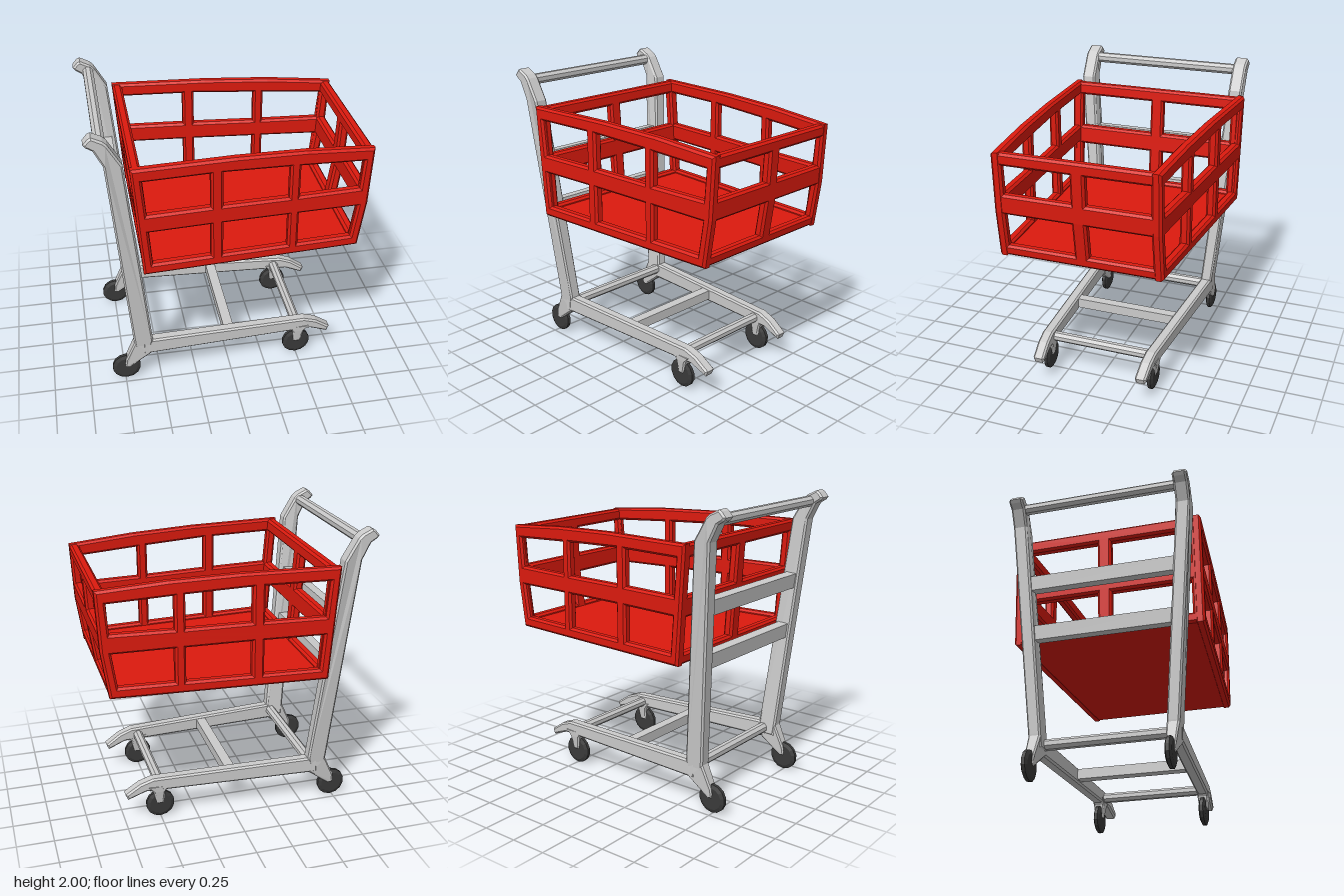
import * as THREE from 'three';

const red = new THREE.MeshStandardMaterial({ color: 0xdd1a0e });
const grey = new THREE.MeshStandardMaterial({ color: 0xcccccc });
const dark = new THREE.MeshStandardMaterial({ color: 0x3a3a3a, flatShading: true });
const lerp = THREE.MathUtils.lerp;
const toVecs = (pts) => pts.map(([x, y]) => new THREE.Vector2(x, y));

// Chamfered plate cut from an outline, each vertex then moved by place(x, y, t)
function plate(name, material, outline, holes, thickness, bevel, place) {
  const shape = new THREE.Shape(toVecs(outline));
  holes.forEach((h) => shape.holes.push(new THREE.Path(toVecs(h))));
  const depth = thickness - 2 * bevel;
  const geo = new THREE.ExtrudeGeometry(shape, {
    depth, bevelEnabled: true, bevelSegments: 1,
    bevelSize: bevel, bevelThickness: bevel, bevelOffset: -bevel,
  });
  geo.translate(0, 0, -depth / 2);
  const p = geo.attributes.position;
  for (let i = 0; i < p.count; i++) p.setXYZ(i, ...place(p.getX(i), p.getY(i), p.getZ(i)));
  geo.computeVertexNormals();
  const mesh = new THREE.Mesh(geo, material);
  mesh.name = name;
  return mesh;
}

// Basket form: tapered plan, leaning rear, bent front
const sideZ = (x) => 0.61 - 0.065 * x;
const rearX = (y) => lerp(-0.6, -0.655, (y - 1.01) / 0.77);
const frontX = (y) => (y < 1.33 ? lerp(0.84, 0.887, (y - 1.01) / 0.32) : lerp(0.887, 0.907, (y - 1.33) / 0.4));
const WALL = 0.066;

function createBasket() {
  const basket = new THREE.Group();
  basket.name = 'basket';

  const sideOutline = [[-0.6, 1.01], [0.84, 1.01], [0.887, 1.33], [0.907, 1.73], [0.45, 1.765], [0, 1.78], [-0.655, 1.78]];
  const sideHoles = [
    [[-0.565, 1.45], [-0.16, 1.45], [-0.16, 1.69], [-0.585, 1.69]],
    [[-0.08, 1.45], [0.35, 1.445], [0.35, 1.672], [-0.08, 1.69]],
    [[0.42, 1.445], [0.825, 1.445], [0.84, 1.645], [0.42, 1.668]],
    [[-0.54, 1.085], [-0.16, 1.085], [-0.16, 1.325], [-0.558, 1.325]],
    [[-0.08, 1.085], [0.35, 1.085], [0.35, 1.32], [-0.08, 1.325]],
    [[0.42, 1.085], [0.785, 1.085], [0.82, 1.315], [0.42, 1.32]],
  ];
  for (const s of [1, -1]) {
    basket.add(plate(s > 0 ? 'frontBasketSide' : 'backBasketSide', red, sideOutline, sideHoles, WALL, 0.015,
      (x, y, t) => [x, y, s * (sideZ(x) - WALL / 2) + t]));
  }

  // End walls with two by two windows
  const endWall = (name, half, inner, top, windowTop, wallX) => {
    const outline = [[-half, 1.012], [half, 1.012], [half, 1.33], [half, top], [-half, top], [-half, 1.33]];
    const holes = [];
    for (const [y0, y1] of [[1.085, 1.315], [1.45, windowTop]]) {
      for (const [a0, a1] of [[-inner, -0.03], [0.065, inner]]) {
        holes.push([[a0, y0], [a1, y0], [a1, y1], [a0, y1]]);
      }
    }
    basket.add(plate(name, red, outline, holes, WALL, 0.015, (a, y, t) => [wallX(y) + t, y, -a]));
  };
  endWall('noseWall', 0.535, 0.495, 1.728, 1.645, (y) => frontX(y) - WALL / 2 - 0.002);
  endWall('handleWall', 0.63, 0.57, 1.777, 1.69, (y) => rearX(y) + WALL / 2 + 0.002);

  const floorOutline = [[-0.595, -0.635], [0.835, -0.54], [0.835, 0.54], [-0.595, 0.635]];
  basket.add(plate('basketFloor', red, floorOutline, [], 0.05, 0.012, (x, a, t) => [x, 1.037 + t, -a]));
  return basket;
}

// Frame sides splay outward with height and narrow toward the nose
const postZ = (y) => 0.445 + 0.083 * (Math.min(y, 1.8) - 0.33);
const railZ = (x) => 0.445 - 0.065 * (x + 0.6) / 1.15;

function createFrameSide(s) {
  const side = new THREE.Group();
  side.name = s > 0 ? 'frontFrameSide' : 'backFrameSide';

  const post = [[-0.67, 0.24], [-0.57, 0.24], [-0.548, 0.33], [-0.69, 1.8], [-0.775, 1.945],
    [-0.8, 1.968], [-0.865, 2], [-0.885, 1.99], [-0.915, 1.955], [-0.9, 1.935], [-0.86, 1.91], [-0.805, 1.8], [-0.68, 0.33]];
  side.add(plate('uprightPost', grey, post, [], 0.096, 0.012,
    (x, y, t) => [x, y, s * postZ(y) + t * lerp(0.85, 1, Math.min(1, (y - 0.24) / 1.5))]));

  const rail = [[-0.62, 0.215], [0.6, 0.215], [0.725, 0.165], [0.742, 0.205], [0.64, 0.275], [0.55, 0.307], [-0.53, 0.33], [-0.62, 0.33]];
  side.add(plate('baseRail', grey, rail, [], 0.078, 0.012, (x, y, t) => [x, y, s * railZ(x) + t]));

  // Caster stems narrow downward around each wheel
  const stems = {
    rearStem: [[-0.75, 0.105], [-0.715, 0.1], [-0.565, 0.215], [-0.56, 0.32], [-0.678, 0.32], [-0.745, 0.17]],
    noseStem: [[0.48, 0.105], [0.525, 0.105], [0.55, 0.2], [0.59, 0.25], [0.43, 0.25], [0.468, 0.2]],
  };
  const wheelX = { rearStem: -0.74, noseStem: 0.5 };
  for (const name of Object.keys(stems)) {
    const cx = wheelX[name];
    const z = s * (name === 'rearStem' ? 0.443 : railZ(cx));
    side.add(plate(name, grey, stems[name], [], 0.08, 0.01,
      (x, y, t) => [x, y, z + t * lerp(0.62, 1, Math.min(1, (y - 0.1) / 0.12))]));

    const profile = [[0, -0.022], [0.075, -0.022], [0.099, -0.011], [0.099, 0.011], [0.075, 0.022], [0, 0.022]];
    const wheel = new THREE.Mesh(new THREE.LatheGeometry(toVecs(profile), 14).rotateX(Math.PI / 2), dark);
    wheel.name = 'wheel';
    wheel.position.set(cx, 0.1, z);
    side.add(wheel);
  }
  return side;
}

function createCrossbars() {
  const bars = new THREE.Group();
  bars.name = 'crossbars';
  const rodMaterial = grey.clone();
  rodMaterial.flatShading = true;
  const add = (name, geo, x, y, tilt = 0) => {
    const mesh = new THREE.Mesh(geo, rodMaterial);
    mesh.name = name;
    mesh.position.set(x, y, 0);
    mesh.rotation.z = tilt;
    bars.add(mesh);
  };
  const rod = (r, length) => new THREE.CylinderGeometry(r, r, length, 8).rotateX(Math.PI / 2).rotateZ(Math.PI / 8);
  add('handleBar', rod(0.037, 1.1), -0.815, 1.925);
  add('upperBackBar', new THREE.BoxGeometry(0.07, 0.1, 1.04), -0.715, 1.38, 0.09);
  add('lowerBackBar', new THREE.BoxGeometry(0.07, 0.1, 0.98), -0.68, 1.025, 0.09);
  add('rearBaseRod', rod(0.037, 0.86), -0.58, 0.285);
  add('middleBaseBar', new THREE.BoxGeometry(0.07, 0.07, 0.8), 0, 0.27);
  add('noseBaseRod', rod(0.035, 0.72), 0.5, 0.255);
  return bars;
}

export function createModel() {
  const cart = new THREE.Group();
  cart.name = 'shoppingCart';
  cart.add(createBasket(), createFrameSide(1), createFrameSide(-1), createCrossbars());
  return cart;
}
